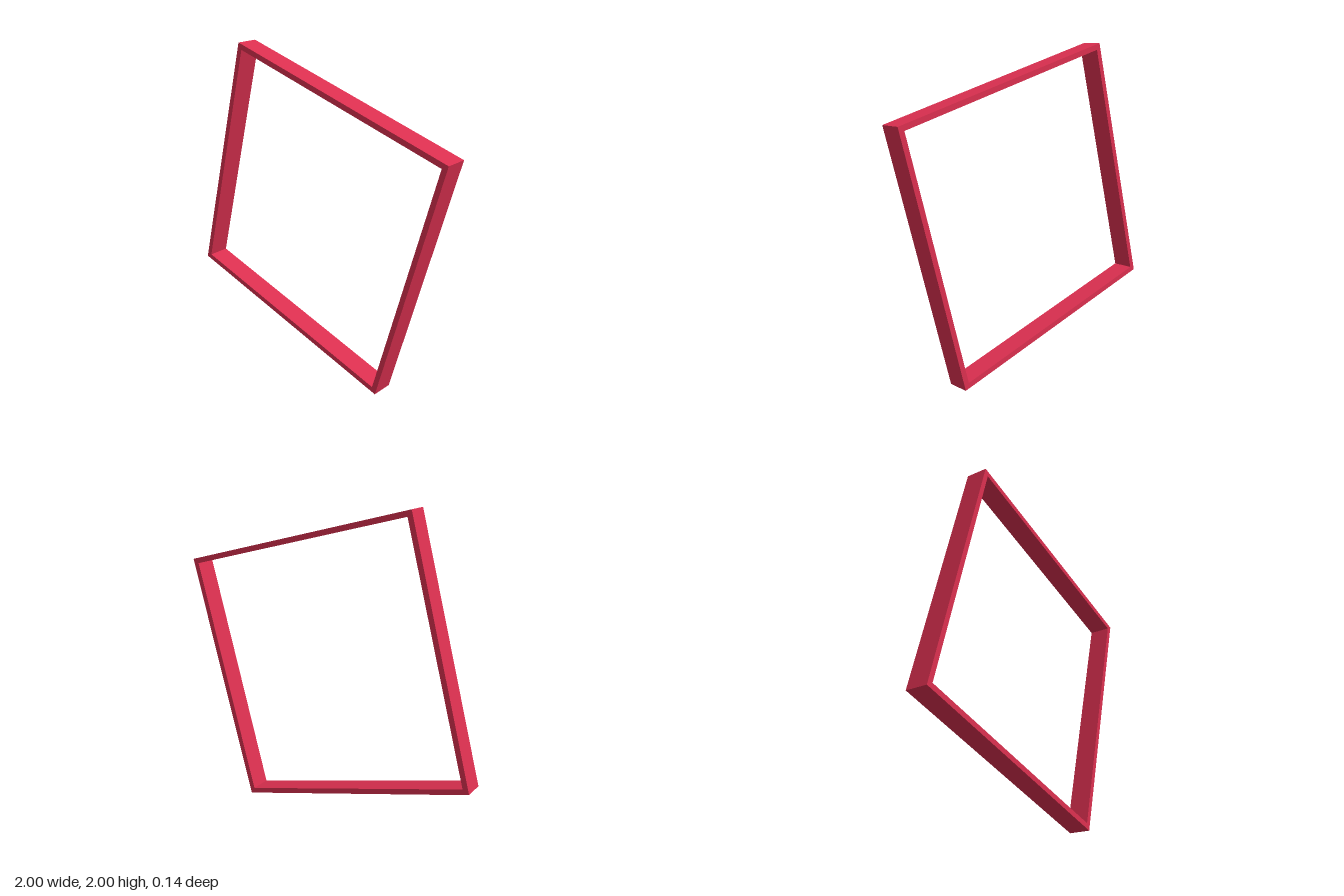
import * as THREE from 'three';

const HALF = 0.8165;   // half the outer side of the square
const BAR = 0.034;     // width of the frame bars
const DEPTH = 0.136;   // front to back

// Adds a closed square outline to a shape or hole path
function square(path, h) {
  path.moveTo(-h, -h);
  path.lineTo(h, -h);
  path.lineTo(h, h);
  path.lineTo(-h, h);
  path.closePath();
  return path;
}

export function createModel() {
  const group = new THREE.Group();
  group.name = 'tiltedSquareFrame';

  // Square ring, extruded and centred in depth
  const outline = square(new THREE.Shape(), HALF);
  outline.holes.push(square(new THREE.Path(), HALF - BAR));
  const geometry = new THREE.ExtrudeGeometry(outline, { depth: DEPTH, bevelEnabled: false });
  geometry.translate(0, 0, -DEPTH / 2);

  // Tilted clockwise so that it rests on one corner
  const frame = new THREE.Mesh(
    geometry,
    new THREE.MeshStandardMaterial({ color: 0xdc3050, flatShading: true })
  );
  frame.name = 'frame';
  frame.rotation.z = -Math.PI / 12;
  frame.position.y = 1;
  group.add(frame);

  return group;
}
